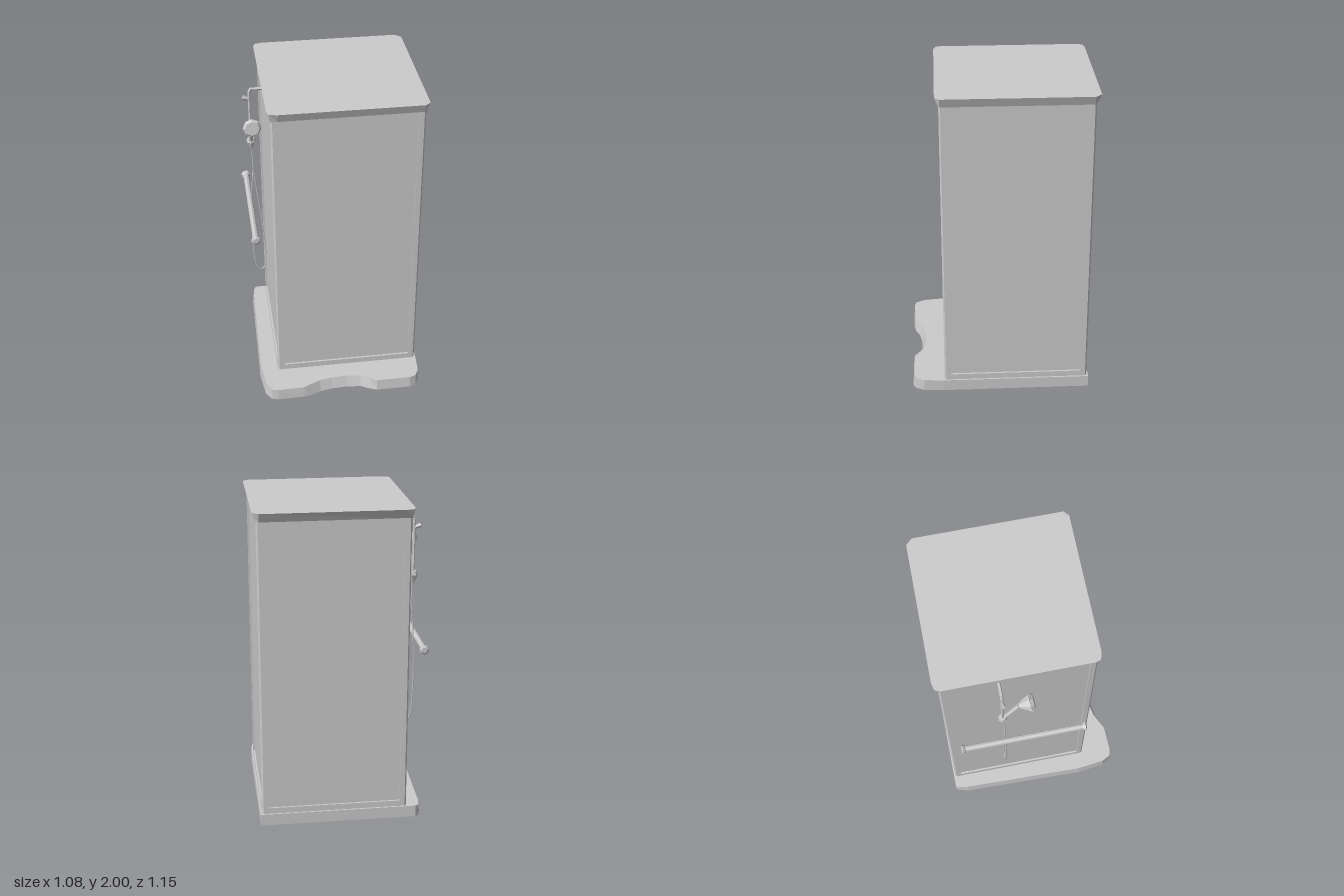
import * as THREE from 'three';

const mat = new THREE.MeshStandardMaterial({ color: 0xcccccc, flatShading: true });
const smooth = new THREE.MeshStandardMaterial({ color: 0xcccccc });
const V = (x, y, z) => new THREE.Vector3(x, y, z);

export function createModel() {
  const model = new THREE.Group();
  const add = (name, geometry, material = mat, parent = model) => {
    const mesh = new THREE.Mesh(geometry, material);
    mesh.name = name;
    parent.add(mesh);
    return mesh;
  };
  const group = (name) => {
    const g = new THREE.Group();
    g.name = name;
    model.add(g);
    return g;
  };
  // box given by its limits
  const block = (name, x0, x1, y0, y1, z0, z1, parent) =>
    add(name, new THREE.BoxGeometry(x1 - x0, y1 - y0, z1 - z0), mat, parent)
      .position.set((x0 + x1) / 2, (y0 + y1) / 2, (z0 + z1) / 2);
  // tapered rod between two points; r0 at a, r1 at b
  const rod = (name, a, b, r0, r1, sides, parent) => {
    const d = b.clone().sub(a);
    const mesh = add(name, new THREE.CylinderGeometry(r1, r0, d.length(), sides), mat, parent);
    mesh.position.copy(a).add(b).multiplyScalar(0.5);
    mesh.quaternion.setFromUnitVectors(V(0, 1, 0), d.normalize());
  };
  // horizontal slab from an (x, z) outline; edit(p) may move its lower corners
  const slab = (name, outline, y0, y1, edit) => {
    const shape = new THREE.Shape(outline.map(([x, z]) => new THREE.Vector2(x, z)));
    const geo = new THREE.ExtrudeGeometry(shape, { depth: y1 - y0, bevelEnabled: false });
    geo.rotateX(Math.PI / 2).translate(0, y1, 0);
    const pos = geo.attributes.position, p = V(0, 0, 0);
    for (let i = 0; i < pos.count; i++) {
      p.fromBufferAttribute(pos, i);
      if (p.y < (y0 + y1) / 2) edit(p);
      pos.setXYZ(i, p.x, p.y, p.z);
    }
    geo.computeVertexNormals();
    return add(name, geo);
  };

  // base plate with a scooped front edge that slopes outwards below
  const base = [
    [-0.46, -0.555], [-0.48, -0.54], [-0.49, -0.48], [-0.51, 0.32], [-0.49, 0.5], [-0.46, 0.56], [-0.42, 0.57],
    [-0.25, 0.565], [-0.2, 0.54], [-0.14, 0.512], [-0.06, 0.497], [0.04, 0.492], [0.13, 0.502], [0.18, 0.53],
    [0.23, 0.565], [0.45, 0.565], [0.49, 0.55], [0.515, 0.5], [0.525, 0.37], [0.525, -0.555],
  ];
  slab('basePlate', base, 0, 0.075, (p) => {
    if (p.z > 0.3) p.z = Math.min(0.575, p.z + (Math.abs(p.x) < 0.22 ? 0.023 : 0.008));
    if (p.x < -0.48) p.x -= 0.008;
  });

  // cabin walls, set back behind the frame
  const X0 = -0.4, X1 = 0.515, Z0 = -0.545, Z1 = 0.37, Y0 = 0.07, Y1 = 1.955, IN = 0.012, W = 0.042;
  block('wallPanels', X0 + IN, X1 - IN, Y0, Y1, Z0 + IN, Z1 - IN);

  // corner posts with chamfered outer edge, top and bottom rails
  const frame = group('frame');
  for (const sx of [-1, 1]) for (const sz of [-1, 1]) {
    const x = sx < 0 ? X0 : X1, z = sz < 0 ? Z0 : Z1, c = 0.01;
    let pts = [[0, c], [c, 0], [W, 0], [W, W], [0, W]]
      .map(([a, b]) => new THREE.Vector2(x - sx * a, z - sz * b));
    const geo = new THREE.ExtrudeGeometry(new THREE.Shape(pts), { depth: Y1 - Y0, bevelEnabled: false });
    add('cornerPost', geo.rotateX(Math.PI / 2).translate(0, Y1, 0), mat, frame);
  }
  for (const [name, y0, y1] of [['bottomRail', Y0, 0.113], ['topRail', 1.935, Y1]]) {
    for (const z of [Z0, Z1 - 0.03]) block(name, X0 + W, X1 - W, y0, y1, z, z + 0.03, frame);
    for (const x of [X0, X1 - 0.03]) block(name, x, x + 0.03, y0, y1, Z0 + W, Z1 - W, frame);
  }

  // roof: clipped corners, flaring outwards to the top
  slab('roof', [
    [-0.42, -0.53], [-0.405, -0.565], [-0.36, -0.575], [0.5, -0.573], [0.537, -0.535],
    [0.537, 0.365], [0.505, 0.393], [-0.36, 0.393], [-0.41, 0.38], [-0.42, 0.35],
  ], 1.945, 2, (p) => {
    p.x = THREE.MathUtils.clamp(p.x, X0 - 0.002, X1 + 0.002);
    p.z = THREE.MathUtils.clamp(p.z, Z0 - 0.002, Z1 + 0.002);
  });

  // grab bar with flared ends
  const bar = group('grabBar');
  const bx = -0.507, by = 1.093;
  rod('bar', V(bx, by, -0.45), V(bx, by, 0.3), 0.018, 0.018, 8, bar);
  for (const [z, s] of [[-0.465, 1], [0.318, -1]]) {
    rod('barEnd', V(bx, by, z), V(bx, by, z + s * 0.02), 0.032, 0.018, 7, bar);
    rod('barCap', V(bx, by, z - s * 0.008), V(bx, by, z), 0.018, 0.032, 7, bar);
  }

  // shower: wall arm, riser, tap and hose holder
  const shower = group('shower');
  const sx = -0.48, sz = -0.2;
  rod('wallArm', V(X0 + 0.02, 1.87, sz), V(sx + 0.01, 1.87, sz), 0.009, 0.009, 6, shower);
  rod('armElbow', V(sx + 0.012, 1.873, sz), V(sx, 1.85, sz), 0.009, 0.01, 6, shower);
  rod('riser', V(sx, 1.855, sz), V(sx, 1.5, sz), 0.009, 0.009, 6, shower);
  rod('tap', V(sx, 1.8, sz), V(-0.52, 1.815, sz), 0.01, 0.016, 6, shower);
  rod('holderCollar', V(sx, 1.525, sz), V(sx, 1.5, sz), 0.022, 0.029, 7, shower);
  rod('holderCone', V(sx, 1.5, sz), V(sx, 1.445, sz), 0.029, 0.005, 7, shower);

  // hand shower leaning forwards out of the holder
  const foot = V(sx, 1.5, sz + 0.005), neck = V(sx, 1.675, -0.1), face = V(sx, 1.69, -0.03);
  rod('handle', foot, neck, 0.012, 0.015, 6, shower);
  rod('headCone', neck, face, 0.016, 0.058, 8, shower);
  rod('headFace', face, V(sx, 1.693, -0.012), 0.058, 0.045, 8, shower);

  // hanging hose loop
  const hose = new THREE.CatmullRomCurve3([
    [-0.477, 1.45], [-0.472, 1.3], [-0.455, 1.12], [-0.435, 0.95], [-0.42, 0.75], [-0.413, 0.58], [-0.43, 0.51],
    [-0.455, 0.5], [-0.482, 0.56], [-0.495, 0.7], [-0.495, 1.0], [-0.485, 1.18], [-0.475, 1.3],
  ].map(([x, y]) => V(x, y, -0.19)));
  add('hose', new THREE.TubeGeometry(hose, 60, 0.004, 6), smooth, shower);

  return model;
}
